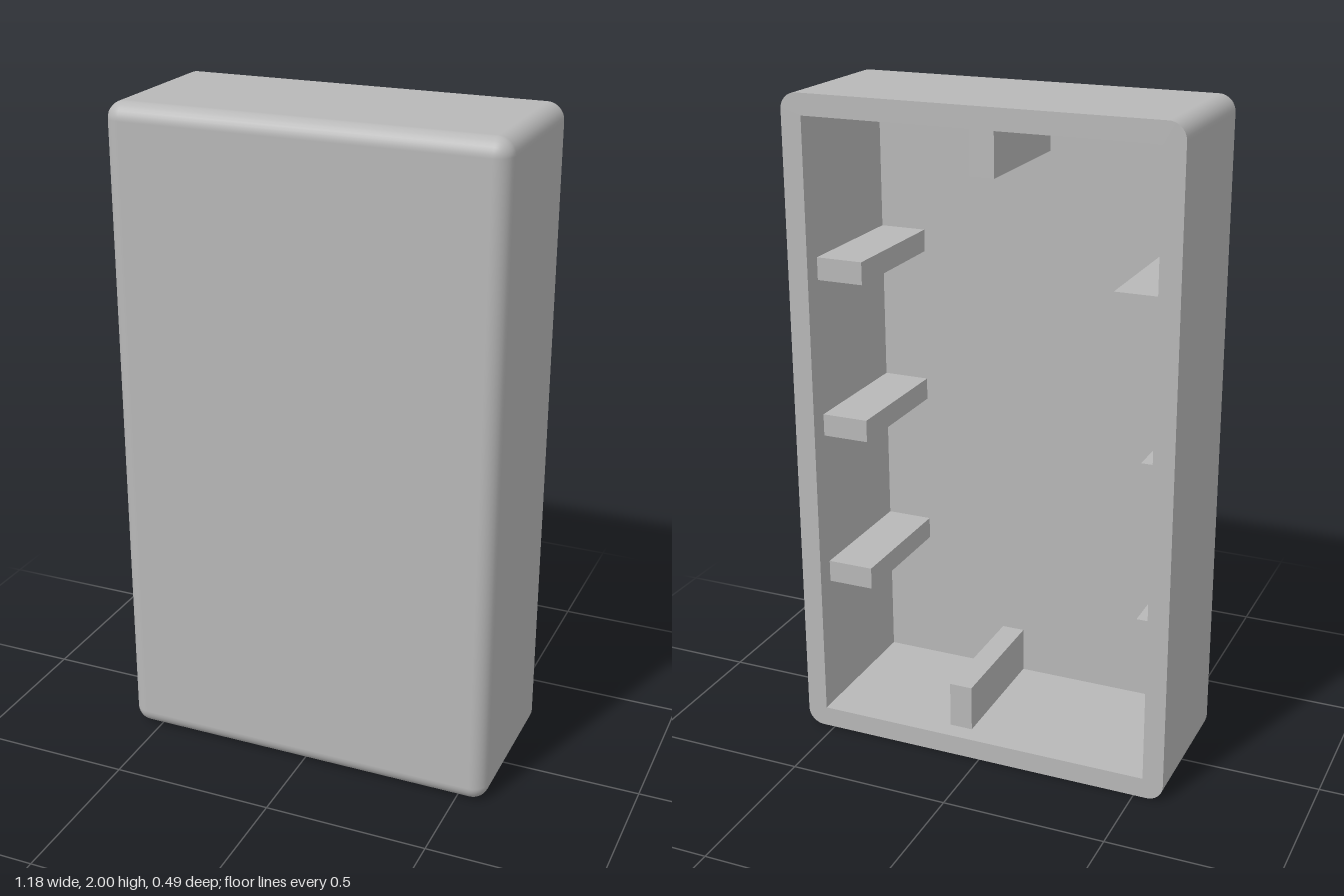
import * as THREE from 'three';

const HALF_W = 0.59, HALF_H = 1, HALF_D = 0.245, R = 0.05;  // outer case
const IN_W = 0.527, IN_H = 0.937, IN_FRONT = 0.229;         // cavity
const RIB_BACK = -0.187;                                    // ribs stop short of the rim
const STEPS = 8;

// Outer skin: rounded-rectangle rings from the open back to the filleted front
function skinGeometry() {
  const pos = [], nor = [], idx = [];
  const ringSize = 4 * (STEPS + 1);
  const ring = (z, t) => {
    for (let corner = 0; corner < 4; corner++) {
      const cx = (corner === 0 || corner === 3 ? 1 : -1) * (HALF_W - R);
      const cy = (corner < 2 ? 1 : -1) * (HALF_H - R);
      for (let s = 0; s <= STEPS; s++) {
        const a = (corner + s / STEPS) * Math.PI / 2;
        const nx = Math.cos(a) * Math.cos(t), ny = Math.sin(a) * Math.cos(t), nz = Math.sin(t);
        pos.push(cx + R * nx, cy + R * ny, z + R * nz);
        nor.push(nx, ny, nz);
      }
    }
  };
  ring(-HALF_D, 0);
  for (let k = 0; k <= STEPS; k++) ring(HALF_D - R, k / STEPS * Math.PI / 2);
  for (let j = 0; j <= STEPS; j++) {
    for (let i = 0; i < ringSize; i++) {
      const a = j * ringSize + i, b = j * ringSize + (i + 1) % ringSize;
      idx.push(a, b, b + ringSize, a, b + ringSize, a + ringSize);
    }
  }
  // Flat front panel
  const [p, q, r, s] = [0, 1, 2, 3].map(c => (STEPS + 1) * ringSize + c * (STEPS + 1));
  idx.push(p, q, r, p, r, s);

  const g = new THREE.BufferGeometry();
  g.setAttribute('position', new THREE.Float32BufferAttribute(pos, 3));
  g.setAttribute('normal', new THREE.Float32BufferAttribute(nor, 3));
  g.setIndex(idx);
  return g;
}

// Flat back rim: rounded outline with a square-cornered opening
function rimGeometry() {
  const shape = new THREE.Shape();
  const x = HALF_W - R, y = HALF_H - R;
  shape.absarc(x, y, R, 0, Math.PI / 2);
  shape.absarc(-x, y, R, Math.PI / 2, Math.PI);
  shape.absarc(-x, -y, R, Math.PI, Math.PI * 1.5);
  shape.absarc(x, -y, R, Math.PI * 1.5, Math.PI * 2);
  shape.holes.push(new THREE.Path([
    [-IN_W, -IN_H], [-IN_W, IN_H], [IN_W, IN_H], [IN_W, -IN_H],
  ].map(([px, py]) => new THREE.Vector2(px, py))));
  return new THREE.ShapeGeometry(shape, STEPS).rotateY(Math.PI).translate(0, 0, -HALF_D);
}

// Cavity: a box turned inside out, without its back face
function cavityGeometry() {
  const depth = IN_FRONT + HALF_D;
  const g = new THREE.BoxGeometry(2 * IN_W, 2 * IN_H, depth);
  g.translate(0, 0, IN_FRONT - depth / 2);
  g.setIndex(Array.from(g.index.array).slice(0, 30).reverse());
  g.clearGroups();
  const n = g.attributes.normal;
  for (let i = 0; i < n.count; i++) n.setXYZ(i, -n.getX(i), -n.getY(i), -n.getZ(i));
  return g;
}

export function createModel() {
  const grey = new THREE.MeshStandardMaterial({ color: 0xb8b8b8 });
  grey.name = 'greyPlastic';
  const model = new THREE.Group();
  model.name = 'openBackCase';

  const add = (name, geometry) => {
    const mesh = new THREE.Mesh(geometry, grey);
    mesh.name = name;
    mesh.position.y = HALF_H;
    model.add(mesh);
  };
  add('outerShell', skinGeometry());
  add('backRim', rimGeometry());
  add('innerCavity', cavityGeometry());

  // Support ribs running back from the front panel; x and y are their centres
  const rib = (name, x, y, w, h) => {
    const d = IN_FRONT - RIB_BACK;
    add(name, new THREE.BoxGeometry(w, h, d).translate(x, y, RIB_BACK + d / 2));
  };
  [0.484, 0, -0.484].forEach((y, i) => {
    rib('leftRib' + (i + 1), IN_W - 0.072, y, 0.144, 0.068);
    const w = i === 0 ? 0.144 : 0.052;
    rib('rightRib' + (i + 1), -IN_W + w / 2, y, w, 0.068);
  });
  rib('topRib', 0.004, IN_H - 0.071, 0.072, 0.142);
  rib('bottomRib', 0.085, -IN_H + 0.072, 0.072, 0.144);
  return model;
}
